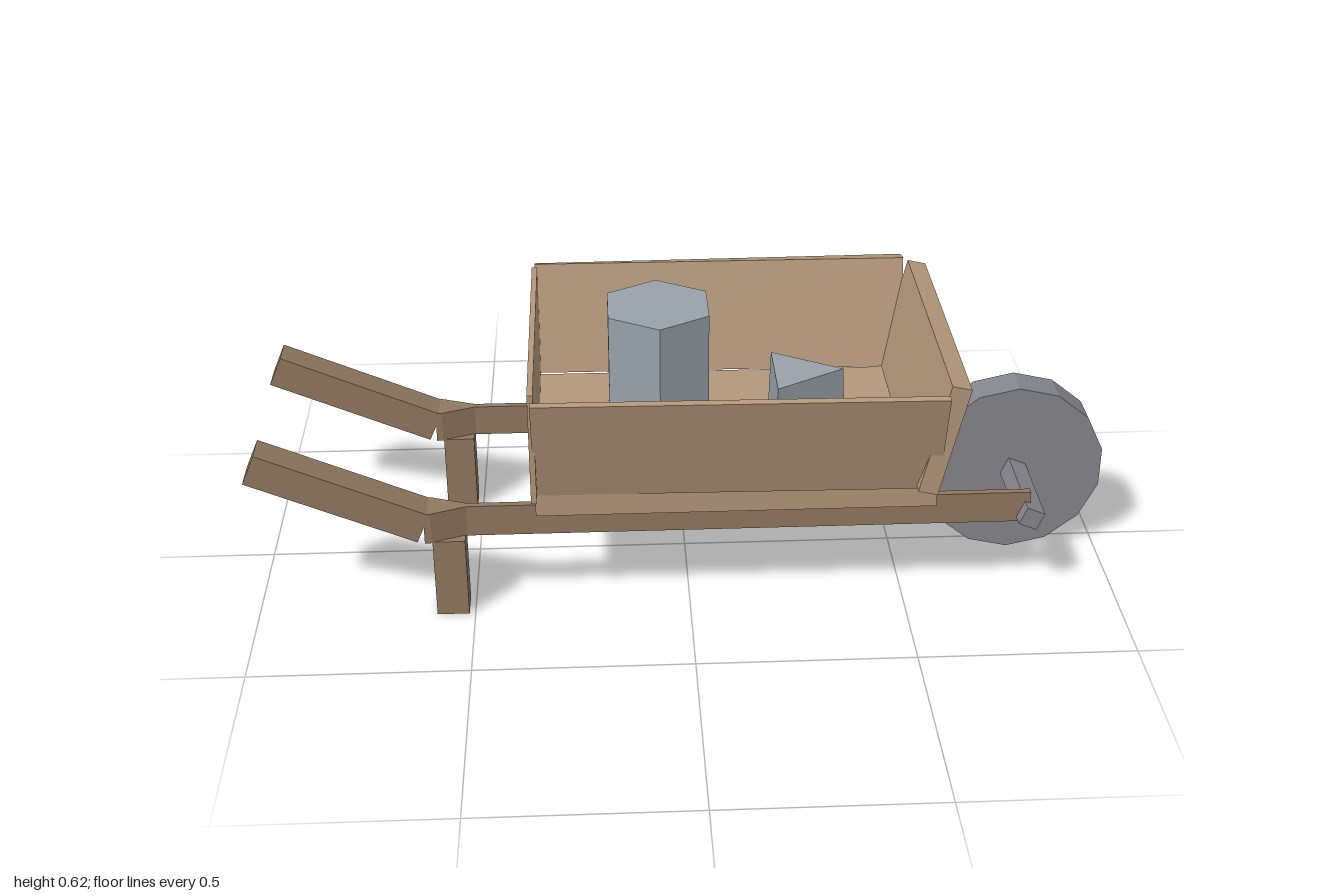
import * as THREE from 'three';

const mat = (color) => new THREE.MeshStandardMaterial({ color, flatShading: true });

export function createModel() {
  const group = new THREE.Group();
  const wood = mat(0xb3977a), darkWood = mat(0x917860);
  const metal = mat(0x85858c), stone = mat(0x98a2aa);

  const add = (name, geometry, material, x = 0, y = 0, z = 0) => {
    const mesh = new THREE.Mesh(geometry, material);
    mesh.name = name;
    mesh.position.set(x, y, z);
    group.add(mesh);
    return mesh;
  };

  // Box given by its lower and upper limits
  const block = (name, material, [x0, x1], [y0, y1], [z0, z1]) =>
    add(name, new THREE.BoxGeometry(x1 - x0, y1 - y0, z1 - z0), material,
      (x0 + x1) / 2, (y0 + y1) / 2, (z0 + z1) / 2);

  // Six-sided plank whose corners follow a rule of the signs on each axis
  const plank = (name, material, rule) => {
    const geometry = new THREE.BoxGeometry(2, 2, 2);
    const p = geometry.attributes.position;
    for (let i = 0; i < p.count; i++) p.setXYZ(i, ...rule(p.getX(i), p.getY(i), p.getZ(i)));
    geometry.computeVertexNormals();
    return add(name, geometry, material);
  };

  // Tray: floor, upright back board, leaning front board
  block('trayFloor', wood, [-0.35, 0.557], [0.275, 0.33], [-0.283, 0.3]);
  block('backBoard', wood, [-0.358, -0.345], [0.33, 0.602], [-0.325, 0.337]);
  plank('frontBoard', wood, (sx, sy, sz) => [
    0.528 + sx * 0.022 + (sy > 0 ? 0.06 : 0),
    (sy > 0 ? 0.597 : 0.333) - sx * 0.005,
    sz > 0 ? 0.34 : -0.325,
  ]);

  // Flared side boards; the one at -z thickens towards the wheel
  for (const side of [-1, 1]) {
    plank(side > 0 ? 'sideBoardFront' : 'sideBoardRear', wood, (sx, sy, sz) => {
      const inner = sz !== side;
      const thickness = side > 0 ? 0.015 : (sx > 0 ? 0.045 : 0.012);
      const outerZ = sy > 0 ? (sx > 0 ? 0.385 : 0.373) : (sx > 0 ? 0.312 : 0.3);
      return [
        sx > 0 ? 0.557 : -0.352,
        (sy > 0 ? 0.592 : 0.329) + (inner ? 0.22 * thickness : 0),
        side * (outerZ - (inner ? thickness : 0)),
      ];
    });
  }

  // Beams, handles and legs on both sides
  for (const side of [-1, 1]) {
    const z = side > 0 ? 0.24 : -0.233;

    // Thin rail that widens where it meets the handle
    const plan = new THREE.Shape([
      [-0.605, -0.037], [-0.59, -0.037], [-0.51, -0.008], [0.785, -0.008],
      [0.785, 0.008], [-0.51, 0.008], [-0.59, 0.037], [-0.605, 0.037],
    ].map(([x, y]) => new THREE.Vector2(x, y)));
    const rail = new THREE.ExtrudeGeometry(plan, { depth: 0.077, bevelEnabled: false });
    rail.rotateX(-Math.PI / 2);
    add('rail', rail, darkWood, 0, 0.196, z);

    // Handle rising towards the back
    const handle = add('handle', new THREE.BoxGeometry(0.412, 0.077, 0.075), darkWood, -0.795, 0.317, z);
    handle.rotation.z = -0.41;

    block('leg', darkWood, [-0.588, -0.514], [0, 0.198], [z - 0.036, z + 0.036]);
  }

  // Wheel with its square axle
  const wheel = new THREE.CylinderGeometry(0.217, 0.217, 0.083, 14);
  wheel.rotateX(Math.PI / 2);
  add('wheel', wheel, metal, 0.785, 0.219, 0.008).rotation.z = Math.PI;
  const axle = add('axle', new THREE.BoxGeometry(0.045, 0.045, 0.547), metal, 0.785, 0.22, 0.006);
  axle.rotation.z = -0.4;

  // Stones lying in the tray
  add('hexagonalStone', new THREE.CylinderGeometry(0.135, 0.135, 0.29, 6), stone, -0.06, 0.474, -0.068);
  const wedge = add('triangularStone', new THREE.CylinderGeometry(0.105, 0.115, 0.215, 3), stone, 0.25, 0.435, 0.13);
  wedge.rotation.y = Math.PI / 2;

  return group;
}
